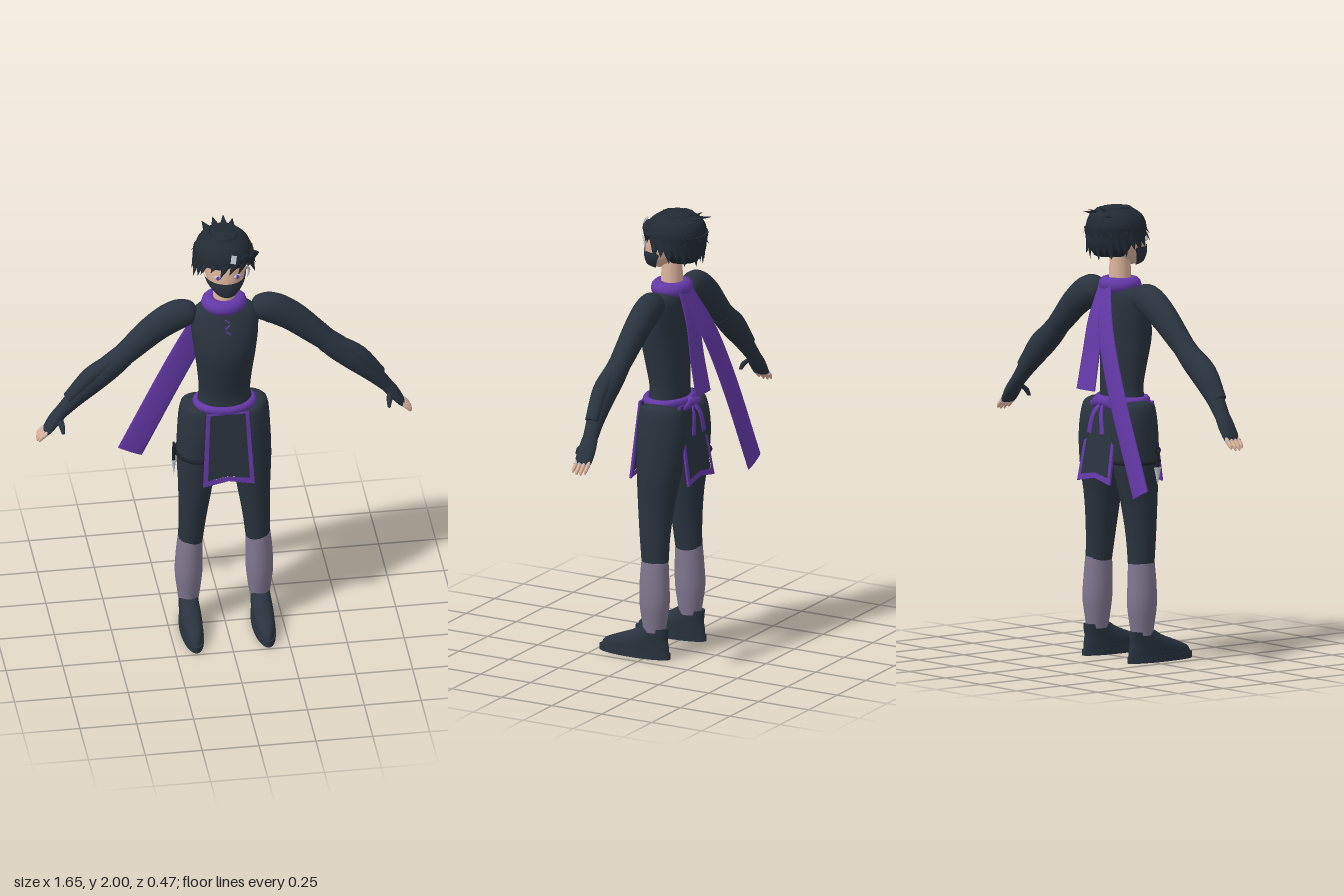
import * as THREE from 'three';

const mat = (name, color, extra = {}) => {
  const m = new THREE.MeshStandardMaterial({ color, ...extra });
  m.name = name;
  return m;
};

export function createModel() {
  const model = new THREE.Group();
  model.name = 'maskedFighter';
  const cloth = mat('dark cloth', 0x2a333f, { side: THREE.DoubleSide });
  const hairMat = mat('black hair', 0x222a33, { side: THREE.DoubleSide });
  const purple = mat('purple sash', 0x6439a8);
  const wrap = mat('grey leg wrap', 0x80768f);
  const skin = mat('skin', 0xdcb49c);
  const silver = mat('silver', 0xc4c9d2);
  const iron = mat('dark iron', 0x1b2027);

  const add = (name, geo, material, parent = model) => {
    const m = new THREE.Mesh(geo, material);
    m.name = name;
    parent.add(m);
    return m;
  };

  // Smooth loft through rows [x, y, z, radius across, radius in z]; arc = [start, end] leaves it open
  function loft(rows, s = 1, sides = 20, arc = null) {
    const path = new THREE.CatmullRomCurve3(rows.map(r => new THREE.Vector3(r[0] * s, r[1], r[2])));
    const radii = new THREE.CatmullRomCurve3(rows.map((r, i) => new THREE.Vector3(r[3], r[4], i * 0.05)));
    const n = (rows.length - 1) * 4, pos = [], idx = [];
    const [a0, a1] = arc || [0, Math.PI * 2];
    const cols = arc ? sides + 1 : sides;
    for (let i = 0; i <= n; i++) {
      const c = path.getPoint(i / n), r = radii.getPoint(i / n), t = path.getTangent(i / n);
      const l = Math.hypot(t.x, t.y) || 1;
      for (let j = 0; j < cols; j++) {
        const a = a0 + (a1 - a0) * j / sides, u = Math.cos(a) * r.x;
        pos.push(c.x + u * t.y / l, c.y - u * t.x / l, c.z + Math.sin(a) * r.y);
      }
    }
    for (let i = 0; i < n; i++) for (let j = 0; j < sides; j++) {
      const a = i * cols + j, b = i * cols + (j + 1) % cols;
      idx.push(a, a + cols, b, b, a + cols, b + cols);
    }
    // End caps with their own corners keep the rim sharp
    if (!arc) for (const end of [0, n]) {
      const base = pos.length / 3, c = path.getPoint(end / n);
      for (let j = 0; j < cols; j++) pos.push(...pos.slice((end * cols + j) * 3, (end * cols + j) * 3 + 3));
      pos.push(c.x, c.y, c.z);
      for (let j = 0; j < cols; j++) {
        const a = base + j, b = base + (j + 1) % cols;
        idx.push(base + cols, ...(end ? [b, a] : [a, b]));
      }
    }
    const g = new THREE.BufferGeometry();
    g.setAttribute('position', new THREE.Float32BufferAttribute(pos, 3));
    g.setIndex(idx);
    g.computeVertexNormals();
    return g;
  }

  const ring = (name, R, tube, x, y, z, sz, material) => {
    const m = add(name, new THREE.TorusGeometry(R, tube, 12, 32).rotateX(Math.PI / 2).scale(1, 1, sz), material);
    m.position.set(x, y, z);
    return m;
  };

  // Torso, neck and belt
  add('torso', loft([[0, 0.93, -0.03, 0.05, 0.06], [0, 1.02, -0.03, 0.12, 0.09], [0, 1.13, -0.02, 0.122, 0.083],
    [0, 1.2, -0.02, 0.113, 0.08], [0, 1.3, -0.01, 0.12, 0.09], [0, 1.42, 0, 0.135, 0.1],
    [0, 1.52, -0.01, 0.147, 0.092], [0, 1.6, -0.025, 0.146, 0.075], [0, 1.635, -0.03, 0.11, 0.06],
    [0, 1.655, -0.03, 0.05, 0.04]], 1, 32), cloth);
  add('neck', new THREE.CylinderGeometry(0.045, 0.05, 0.17, 20), skin).position.set(0, 1.7, -0.03);
  ring('scarfCollar', 0.066, 0.034, 0, 1.645, -0.03, 0.9, purple);
  ring('belt', 0.122, 0.019, 0, 1.14, -0.017, 0.76, purple);
  for (let i = 0; i < 3; i++) {
    const lace = add('chestLace', new THREE.BoxGeometry(0.026, 0.005, 0.008), purple);
    lace.position.set(0.002, 1.592 - i * 0.022, 0.056 + i * 0.012);
    lace.rotation.set(-0.5, 0, i % 2 ? 0.7 : -0.7);
  }

  // Scarf tails and the belt knot on the back
  add('longScarfTail', loft([[0.02, 1.655, -0.1, 0.045, 0.007], [-0.07, 1.46, -0.165, 0.055, 0.007],
    [-0.18, 1.22, -0.2, 0.058, 0.007], [-0.385, 0.775, -0.222, 0.058, 0.007]], 1, 12), purple);
  add('shortScarfTail', loft([[0.015, 1.655, -0.095, 0.045, 0.006], [0.02, 1.5, -0.145, 0.055, 0.006],
    [0.025, 1.35, -0.17, 0.06, 0.006], [0.025, 1.19, -0.2, 0.065, 0.006]], 1, 12), purple);
  add('beltKnot', new THREE.SphereGeometry(0.024, 14, 10), purple).position.set(0, 1.135, -0.122);
  for (const s of [-1, 1]) {
    add('knotTail', loft([[0, 1.135, -0.125, 0.009, 0.005], [0.025, 1.09, -0.155, 0.012, 0.005],
      [0.045, 1.0, -0.165, 0.016, 0.005]], s, 10), purple);
    add('knotLoop', loft([[0, 1.14, -0.125, 0.01, 0.006], [0.035, 1.135, -0.14, 0.02, 0.01],
      [0.065, 1.115, -0.128, 0.01, 0.006]], s, 10), purple);
  }

  // Apron panels: dark cloth inside a purple border
  const polygon = (pts, Type = THREE.Shape) => new Type(pts.map(p => new THREE.Vector2(...p)));
  const inner = [[-0.077, -0.005], [0.077, -0.005], [0.092, -0.322], [0, -0.307], [-0.092, -0.322]];
  const slab = (shape, d) => new THREE.ExtrudeGeometry(shape, { depth: d, bevelEnabled: false }).translate(0, 0, -d / 2);
  for (const [name, z, tilt] of [['frontApron', 0.08, -0.1], ['backApron', -0.115, 0.17]]) {
    const apron = new THREE.Group();
    apron.name = name;
    const border = polygon([[-0.093, 0], [0.093, 0], [0.113, -0.352], [0, -0.33], [-0.113, -0.352]]);
    border.holes.push(polygon(inner, THREE.Path));
    add('border', slab(border, 0.009), purple, apron);
    add('panel', slab(polygon(inner), 0.006), cloth, apron);
    apron.position.set(0, 1.13, z);
    apron.rotation.x = tilt;
    model.add(apron);
  }

  for (const s of [-1, 1]) {
    const side = s > 0 ? 'left' : 'right';
    // Arm, bracer and glove
    add(side + 'UpperArm', loft([[0.12, 1.6, -0.03, 0.02, 0.02], [0.14, 1.6, -0.03, 0.052, 0.045],
      [0.2, 1.595, -0.03, 0.07, 0.057], [0.29, 1.545, -0.03, 0.067, 0.056], [0.4, 1.45, -0.025, 0.056, 0.05],
      [0.5, 1.36, -0.02, 0.045, 0.044]], s), cloth);
    add(side + 'Forearm', loft([[0.445, 1.408, -0.022, 0.052, 0.048], [0.5, 1.36, -0.02, 0.056, 0.05],
      [0.57, 1.3, -0.018, 0.055, 0.048], [0.66, 1.205, -0.022, 0.039, 0.038],
      [0.715, 1.14, -0.028, 0.029, 0.034]], s), cloth);
    add(side + 'ArmGuard', loft([[0.505, 1.395, -0.015, 0.025, 0.034], [0.59, 1.325, -0.012, 0.037, 0.038],
      [0.688, 1.215, -0.02, 0.022, 0.03]], s), cloth);
    add(side + 'Glove', loft([[0.7, 1.16, -0.027, 0.029, 0.032], [0.745, 1.1, -0.03, 0.026, 0.041],
      [0.778, 1.052, -0.03, 0.017, 0.04], [0.785, 1.042, -0.03, 0.01, 0.034]], s), cloth);
    add(side + 'Thumb', loft([[0.728, 1.12, -0.01, 0.014, 0.014], [0.72, 1.095, 0.02, 0.013, 0.013],
      [0.716, 1.066, 0.036, 0.007, 0.008]], s, 10), cloth);
    for (let i = 0; i < 4; i++) {
      const z = -0.06 + i * 0.02, k = i === 0 || i === 3 ? 0.8 : 1;
      add(side + 'Finger', loft([[0.772, 1.06, z, 0.01, 0.009], [0.793, 1.04, z, 0.01, 0.009],
        [0.793 + 0.021 * k, 1.04 - 0.02 * k, z, 0.009, 0.008],
        [0.793 + 0.029 * k, 1.04 - 0.035 * k, z, 0.004, 0.004]], s, 10), skin);
      const trim = add(side + 'GloveTrim', new THREE.TorusGeometry(0.009, 0.0025, 6, 12), silver);
      trim.position.set(s * 0.79, 1.043, z);
      trim.rotation.set(Math.PI / 2, s * 0.8, 0);
    }

    // Trouser leg, shin wrap and shoe
    add(side + 'Trouser', loft([[0.1, 1.137, -0.03, 0.04, 0.05], [0.104, 1.115, -0.035, 0.086, 0.095],
      [0.106, 1.0, -0.038, 0.097, 0.113], [0.118, 0.85, -0.035, 0.09, 0.103], [0.128, 0.7, -0.026, 0.074, 0.084],
      [0.14, 0.55, -0.025, 0.061, 0.069], [0.148, 0.42, -0.03, 0.053, 0.06]], s, 24), cloth);
    add(side + 'ShinWrap', loft([[0.149, 0.435, -0.03, 0.054, 0.061], [0.153, 0.35, -0.03, 0.059, 0.066],
      [0.156, 0.25, -0.032, 0.06, 0.068], [0.156, 0.16, -0.032, 0.05, 0.056],
      [0.157, 0.12, -0.032, 0.045, 0.05]], s, 24), wrap);
    add(side + 'Shoe', loft([[0.158, 0.025, 0.064, 0.046, 0.168], [0.158, 0.055, 0.056, 0.047, 0.158],
      [0.158, 0.085, 0.025, 0.046, 0.122], [0.158, 0.115, -0.015, 0.043, 0.085],
      [0.158, 0.138, -0.035, 0.041, 0.066]], s, 28), cloth);
    add(side + 'Sole', new THREE.CylinderGeometry(1, 1, 0.028, 32).scale(0.049, 1, 0.175), cloth)
      .position.set(s * 0.158, 0.014, 0.065);
  }

  // Thigh strap and throwing knife
  ring('thighStrap', 0.093, 0.009, -0.116, 0.88, -0.036, 1.14, iron);
  const knife = new THREE.Group();
  knife.name = 'throwingKnife';
  add('handle', new THREE.CylinderGeometry(0.008, 0.008, 0.07, 10), iron, knife);
  add('pommelRing', new THREE.TorusGeometry(0.013, 0.004, 8, 16).rotateY(Math.PI / 2), iron, knife).position.y = 0.045;
  add('blade', new THREE.ConeGeometry(0.02, 0.08, 4).rotateX(Math.PI).scale(0.5, 1, 1), silver, knife).position.y = -0.07;
  knife.position.set(-0.225, 0.89, 0);
  model.add(knife);

  // Head, mask and eyes
  const jaw = [[0, 1.728, 0.04, 0.015, 0.022], [0, 1.742, 0.03, 0.042, 0.055], [0, 1.78, 0.008, 0.074, 0.085]];
  add('head', loft([...jaw, [0, 1.84, -0.02, 0.092, 0.11], [0, 1.92, -0.035, 0.092, 0.108],
    [0, 1.965, -0.04, 0.05, 0.06]], 1, 28), skin);
  add('faceMask', loft([...jaw, [0, 1.815, -0.01, 0.087, 0.102]].map(([x, y, z, a, b]) => [x, y - 0.003, z, a + 0.006, b + 0.006]),
    1, 24, [-0.1, Math.PI + 0.1]), cloth);
  for (const s of [-1, 1]) {
    const white = add('eyeWhite', new THREE.SphereGeometry(1, 14, 8), silver);
    white.scale.set(0.019, 0.01, 0.005);
    white.position.set(s * 0.043, 1.838, 0.078);
    white.rotation.y = s * 0.4;
    const iris = add('iris', new THREE.SphereGeometry(1, 12, 8), purple);
    iris.scale.set(0.009, 0.01, 0.004);
    iris.position.set(s * 0.042, 1.838, 0.082);
    add('ear', new THREE.SphereGeometry(1, 12, 8).scale(0.012, 0.025, 0.018), skin).position.set(s * 0.094, 1.83, -0.025);
  }

  // Hair: crown, back shell and layered pointed locks
  const hair = new THREE.Group();
  hair.name = 'hair';
  model.add(hair);
  add('crown', loft([[0, 1.875, -0.05, 0.124, 0.132], [0, 1.91, -0.052, 0.126, 0.135], [0, 1.95, -0.055, 0.108, 0.12],
    [0, 1.98, -0.06, 0.07, 0.08], [0, 1.99, -0.06, 0.02, 0.02]], 1, 24), hairMat);
  add('backShell', loft([[0, 1.775, -0.075, 0.07, 0.075], [0, 1.82, -0.07, 0.11, 0.112], [0, 1.89, -0.055, 0.126, 0.133]],
    1, 24, [Math.PI - 0.1, Math.PI * 2 + 0.1]), hairMat);
  const centre = new THREE.Vector3(0, 1.87, -0.05);
  const lock = (from, to, w) => {
    const a = new THREE.Vector3(...from), b = new THREE.Vector3(...to), L = a.distanceTo(b);
    const y = b.clone().sub(a).normalize();
    const x = y.clone().cross(a.clone().lerp(b, 0.5).sub(centre)).normalize();
    const z = x.clone().cross(y);
    const g = new THREE.ConeGeometry(w, L, 8, 3).scale(1, 1, 0.4);
    g.applyMatrix4(new THREE.Matrix4().makeBasis(x, y, z).setPosition(a.lerp(b, 0.5)));
    add('hairLock', g, hairMat, hair);
  };
  for (let i = 0; i < 16; i++) {
    // Lower fringe round sides and back, swept by alternating lengths
    const a = 1.15 + i / 15 * (Math.PI * 2 - 2.3), back = Math.max(0, -Math.cos(a));
    const r = 0.142 - back * 0.03, tip = 1.795 - back * 0.035 + (i % 2) * 0.02;
    lock([Math.sin(a) * 0.115, 1.9, -0.055 + Math.cos(a) * 0.122],
      [Math.sin(a + 0.12) * r, tip, -0.06 + Math.cos(a + 0.12) * r], 0.042);
  }
  for (let i = 0; i < 12; i++) {
    // Upper layer
    const a = i / 12 * Math.PI * 2, face = Math.cos(a) > 0.7 ? 0.02 : 0;
    lock([Math.sin(a) * 0.05, 1.975, -0.06 + Math.cos(a) * 0.06],
      [Math.sin(a + 0.25) * 0.142, 1.855 + face + (i % 3) * 0.012, -0.055 + Math.cos(a + 0.25) * 0.145], 0.045);
  }
  for (let i = 0; i < 6; i++) {
    // Fringe swept across the forehead
    const x = -0.1 + i * 0.04;
    lock([x + 0.03, 1.925, 0.07 - x * x * 5], [x - 0.015, 1.84 + (i % 2) * 0.012 + (i === 1 ? 0.012 : 0), 0.092 - x * x * 4.5], 0.032);
  }
  for (const [x, y, z] of [[-0.03, 1.997, -0.17], [0.02, 1.985, -0.195], [0.06, 1.97, -0.185], [-0.075, 1.965, -0.19]])
    lock([x * 0.6, 1.95, -0.09], [x, y, z], 0.035);

  // Silver hair clip and side strand
  const clip = add('hairClip', new THREE.BoxGeometry(0.022, 0.036, 0.008), silver);
  clip.position.set(0.025, 1.932, 0.088);
  clip.rotation.set(-0.45, 0.15, -0.2);
  add('silverStrand', loft([[0.085, 1.885, 0.068, 0.004, 0.003], [0.098, 1.85, 0.05, 0.006, 0.004],
    [0.09, 1.815, 0.052, 0.002, 0.002]], 1, 8), silver);
  return model;
}
